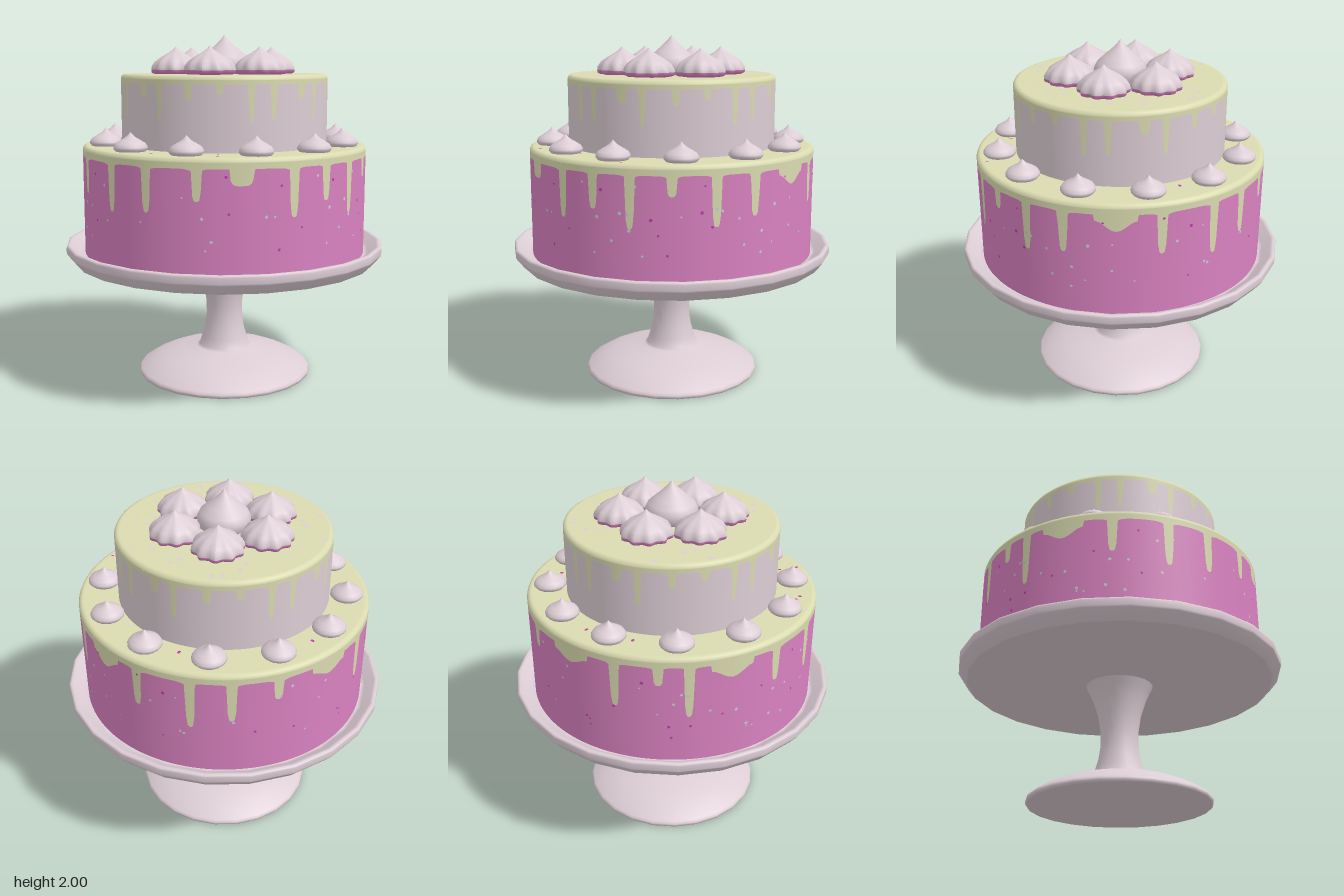
import * as THREE from 'three';
import { mergeGeometries } from 'three/addons/utils/BufferGeometryUtils.js';

const mat = (name, color, side = THREE.FrontSide) => {
  const m = new THREE.MeshStandardMaterial({ color, side });
  m.name = name;
  return m;
};
const M = {
  china: mat('pale lilac cream', 0xdccdd4),
  pink: mat('pink sponge', 0xd982c0),
  icing: mat('pistachio icing', 0xdadbb0),
  magenta: mat('magenta sprinkle', 0xc23cae),
  teal: mat('pale teal sprinkle', 0xc4d2d4),
};
const COLS = 720, RAD = Math.PI / 180;

const mesh = (name, geo, material) => {
  const m = new THREE.Mesh(geo, material);
  m.name = name;
  return m;
};
const lathe = (pts, n) => new THREE.LatheGeometry(pts.map(([x, y]) => new THREE.Vector2(x, y)), n);

function random(seed) {
  return () => (seed = (seed * 16807) % 2147483647) / 2147483647;
}

// Lower edge of an icing coat: arches between drips, each drip [degrees, tip height, half width]
function dripEdge(base, arch, drips, r) {
  const list = drips.map(([a, tip, w = 0.026]) => ({ a: ((a % 360) + 360) % 360, tip, w: w / r }))
    .sort((p, q) => p.a - q.a);
  return (theta) => {
    const deg = theta / RAD;
    let i = list.findIndex((d) => d.a > deg);
    if (i < 0) i = 0;
    const next = list[i], prev = list[(i + list.length - 1) % list.length];
    const span = (next.a - prev.a + 360) % 360;
    const u = ((deg - prev.a + 360) % 360) / span;
    let y = base - arch * Math.pow(Math.abs(2 * u - 1), 5);
    for (const d of [prev, next]) {
      const gap = Math.abs(((deg - d.a + 540) % 360) - 180) * RAD / d.w;
      if (gap >= 1) continue;
      const shape = d.w > 0.09 ? 0.5 + 0.5 * Math.cos(gap * Math.PI) : Math.sqrt(1 - gap ** 4);
      y = Math.min(y, base - arch - (base - arch - d.tip) * shape);
    }
    return y;
  };
}

// Curved wall between two height functions of the angle
function wall(r, low, high) {
  const pos = [], nor = [], idx = [];
  for (let i = 0; i <= COLS; i++) {
    const t = ((i % COLS) / COLS) * Math.PI * 2, s = Math.sin(t), c = Math.cos(t);
    pos.push(r * s, low(t), r * c, r * s, high(t), r * c);
    nor.push(s, 0, c, s, 0, c);
    if (i < COLS) {
      const a = i * 2;
      idx.push(a, a + 2, a + 3, a, a + 3, a + 1);
    }
  }
  const g = new THREE.BufferGeometry();
  g.setAttribute('position', new THREE.Float32BufferAttribute(pos, 3));
  g.setAttribute('normal', new THREE.Float32BufferAttribute(nor, 3));
  g.setIndex(idx);
  return g;
}

// One cake layer: sponge, dripping icing and rounded icing top
function tier(name, r, bottom, top, sponge, edge) {
  const g = new THREE.Group();
  g.name = name;
  g.add(mesh('sponge', wall(r, () => bottom, edge), sponge));
  g.add(mesh('drippingIcing', wall(r, edge, () => top - 0.025), M.icing));
  g.add(mesh('icingTop', lathe([
    [r, top - 0.025], [r, top - 0.02], [r - 0.006, top - 0.007],
    [r - 0.018, top], [r - 0.03, top], [0, top],
  ], 180), M.icing));
  return g;
}

// Small flat sprinkles, all of one colour
function sprinkles(name, count, material, rnd, place) {
  const parts = [];
  for (let i = 0; i < count; i++) {
    parts.push(place(new THREE.CircleGeometry(0.005 + rnd() * 0.005, 7), rnd));
  }
  return mesh(name, mergeGeometries(parts), material);
}
const onWall = (r, y0, y1) => (geo, rnd) =>
  geo.translate(0, y0 + rnd() * (y1 - y0), r + 0.002).rotateY(rnd() * Math.PI * 2);
const onTop = (r0, r1, y, size = 1) => (geo, rnd) =>
  geo.scale(size, size * 1.4, 1).rotateX(-Math.PI / 2)
    .translate(0, y + 0.002, r0 + rnd() * (r1 - r0)).rotateY(rnd() * Math.PI * 2);

// Piped star swirl: lathe with lobes that fade towards the tip
function fluted(pts) {
  const g = lathe(pts, 60), p = g.attributes.position;
  for (let i = 0; i < p.count; i++) {
    const x = p.getX(i), y = p.getY(i), z = p.getZ(i);
    const k = 1 + 0.075 * Math.cos(10 * Math.atan2(x, z)) * Math.max(0, 1 - y / 0.14);
    p.setXYZ(i, x * k, y, z * k);
  }
  g.computeVertexNormals();
  return g;
}

export function createModel() {
  const model = new THREE.Group();
  model.name = 'tieredCakeOnStand';

  // Pedestal and plate
  model.add(mesh('pedestal', lathe([
    [0, 0], [0.5, 0], [0.51, 0.002], [0.515, 0.012], [0.515, 0.022], [0.505, 0.035],
    [0.44, 0.075], [0.36, 0.11], [0.25, 0.138], [0.165, 0.153], [0.148, 0.165],
    [0.135, 0.21], [0.118, 0.27], [0.106, 0.35], [0.108, 0.43], [0.122, 0.52],
    [0.15, 0.61], [0.172, 0.66], [0.195, 0.705],
  ], 24), M.china));
  model.add(mesh('plate', lathe([
    [0, 0.7], [0.87, 0.7], [0.882, 0.702], [0.925, 0.755], [0.93, 0.765], [0.93, 0.797],
    [0.926, 0.807], [0.915, 0.81], [0.9, 0.807], [0.85, 0.765], [0.83, 0.757], [0, 0.755],
  ], 24), M.china));

  // Lower layer
  const lowerDrips = [
    [-53.6, 1.16], [-37.6, 1.24, 0.06], [-18, 1.07], [-3.5, 1.14], [10.9, 1.05], [26, 1.22],
    [42, 1.06], [57.3, 1.1], [76.6, 1.235, 0.11], [93, 1.1], [114, 1.04], [129, 1.09],
    [146, 1.2], [168, 1.25, 0.12], [187, 1.07], [203, 1.22], [214, 1.03], [230, 1.24, 0.12],
    [249, 1.13], [270, 1.07], [287, 1.09],
  ];
  model.add(tier('lowerLayer', 0.82, 0.755, 1.38, M.pink, dripEdge(1.325, 0.035, lowerDrips, 0.82)));

  // Upper layer, its drips repeating every quarter turn
  const upperDrips = [];
  for (let q = 0; q < 360; q += 90) {
    for (const [a, tip, w] of [[0, 1.66], [11, 1.54, 0.016], [28, 1.65, 0.018], [44, 1.68, 0.02],
      [60, 1.54, 0.016], [72, 1.55, 0.016]]) upperDrips.push([a + q, tip, w]);
  }
  model.add(tier('upperLayer', 0.595, 1.38, 1.78, M.china, dripEdge(1.735, 0.03, upperDrips, 0.595)));

  // Sprinkles
  const rnd = random(77);
  model.add(sprinkles('tealSprinkles', 55, M.teal, rnd, onWall(0.82, 0.9, 1.28)));
  model.add(sprinkles('magentaSprinkles', 30, M.magenta, rnd, onWall(0.82, 0.9, 1.3)));
  model.add(sprinkles('ledgeSprinkles', 12, M.magenta, rnd, onTop(0.61, 0.78, 1.38)));
  model.add(sprinkles('topSprinkles', 34, M.china, rnd, onTop(0.3, 0.56, 1.78, 1.5)));

  // Ring of small kisses on the ledge
  const kiss = lathe([[0.08, 0], [0.091, 0.012], [0.091, 0.024], [0.08, 0.042], [0.055, 0.058],
    [0.03, 0.072], [0.014, 0.086], [0, 0.102]], 20);
  for (let i = 0; i < 12; i++) {
    const a = i * Math.PI / 6, m = mesh('ledgeKiss', kiss, M.china);
    m.position.set(0.69 * Math.sin(a), 1.38, 0.69 * Math.cos(a));
    model.add(m);
  }

  // Six piped swirls with pink feet around a tall centre kiss
  const foot = fluted([[0.115, 0], [0.132, 0.008], [0.135, 0.024]]);
  const swirl = fluted([[0.135, 0.024], [0.134, 0.042], [0.118, 0.07], [0.085, 0.095],
    [0.045, 0.118], [0.02, 0.135], [0, 0.155]]);
  for (let i = 0; i < 6; i++) {
    const a = i * Math.PI / 3, g = new THREE.Group();
    g.name = 'topSwirl';
    g.add(mesh('swirlFoot', foot, M.pink), mesh('swirlCream', swirl, M.china));
    g.position.set(0.283 * Math.sin(a), 1.78, 0.283 * Math.cos(a));
    g.rotation.y = a;
    model.add(g);
  }
  const centre = mesh('centreKiss', lathe([[0.12, 0], [0.143, 0.02], [0.146, 0.06], [0.13, 0.095],
    [0.09, 0.13], [0.05, 0.165], [0.022, 0.192], [0, 0.22]], 24), M.china);
  centre.position.y = 1.78;
  model.add(centre);

  return model;
}
